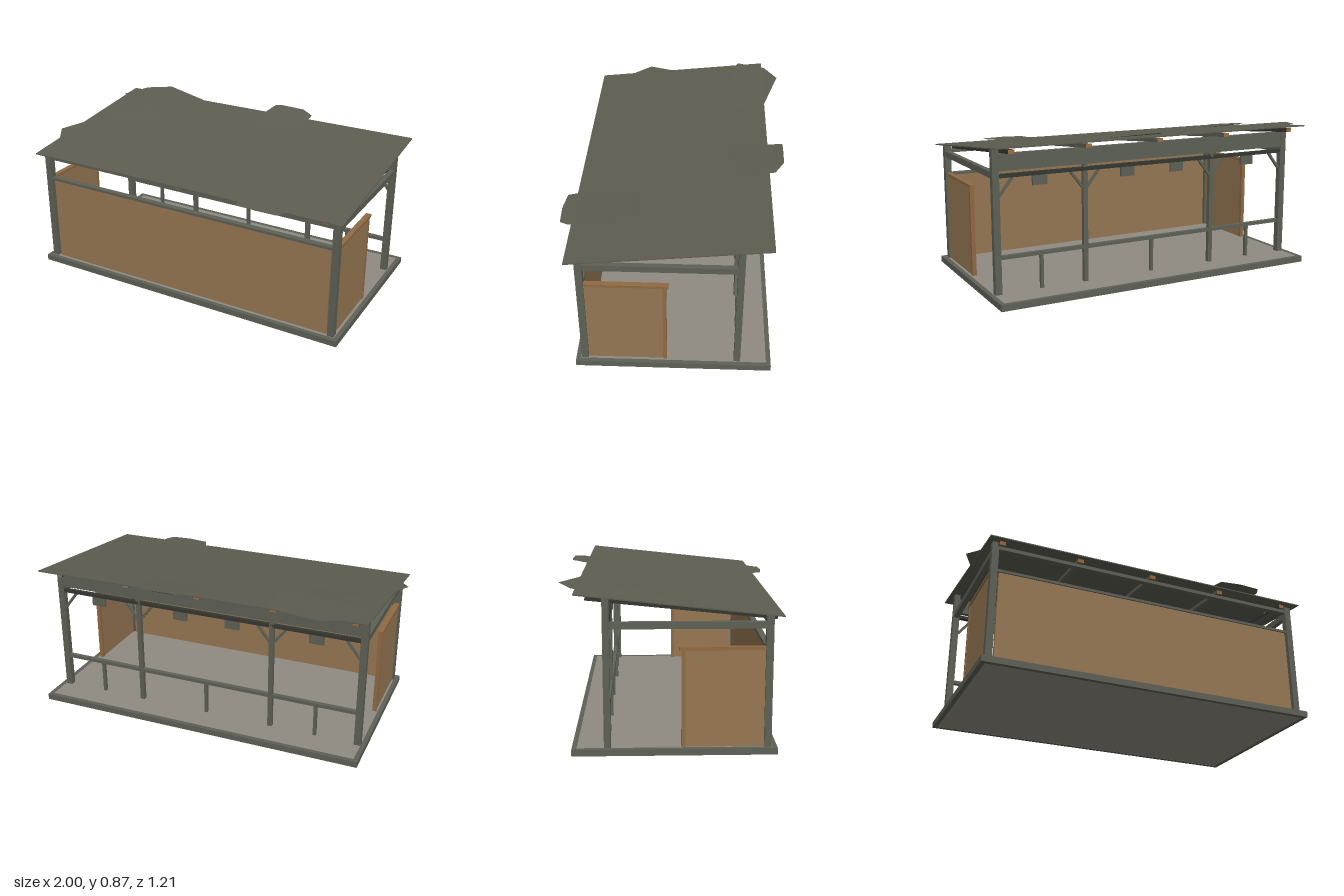
import * as THREE from 'three';

const paint = (name, color, side = THREE.FrontSide) => {
  const m = new THREE.MeshStandardMaterial({ color, side });
  m.name = name;
  return m;
};

export function createModel() {
  const frame = paint('greenGreyFrame', 0x5e6156);
  const dark = paint('darkTimber', 0x353731);
  const wood = paint('brownBoards', 0x967753);
  const trim = paint('brownTrim', 0x8f6b44);
  const floorGrey = paint('floorGrey', 0x8f8b82);
  const sheet = paint('roofSheet', 0x5d5d51, THREE.DoubleSide);
  const endGrain = paint('orangeEndGrain', 0x9c6a3a);

  const model = new THREE.Group();
  model.name = 'openShelter';

  // Box given by its lower and upper limits on each axis
  const box = (name, mat, x0, x1, y0, y1, z0, z1) => {
    const mesh = new THREE.Mesh(new THREE.BoxGeometry(x1 - x0, y1 - y0, z1 - z0), mat);
    mesh.position.set((x0 + x1) / 2, (y0 + y1) / 2, (z0 + z1) / 2);
    mesh.name = name;
    model.add(mesh);
  };
  // Straight bar between two points
  const bar = (name, mat, a, b, w, h) => {
    const from = new THREE.Vector3(...a), to = new THREE.Vector3(...b);
    const mesh = new THREE.Mesh(new THREE.BoxGeometry(w, h, from.distanceTo(to)), mat);
    mesh.position.copy(from).lerp(to, 0.5);
    mesh.lookAt(to);
    mesh.name = name;
    model.add(mesh);
  };
  const roofY = z => 0.722 + 0.1076 * (0.535 - z);

  // Base rim around the floor slab
  box('frontRim', frame, -0.945, 1, 0, 0.035, 0.49, 0.515);
  box('rearRim', frame, -0.945, 1, 0, 0.035, -0.54, -0.515);
  box('rightRim', frame, -0.945, -0.92, 0, 0.035, -0.515, 0.49);
  box('leftRim', frame, 0.975, 1, 0, 0.035, -0.515, 0.49);
  box('floor', floorGrey, -0.92, 0.975, 0.002, 0.034, -0.515, 0.49);

  // Corner posts, side ties and side walls
  for (const [side, x0, x1] of [['right', -0.92, -0.882], ['left', 0.933, 0.97]]) {
    const xm = (x0 + x1) / 2;
    box(side + 'FrontPost', frame, x0, x1, 0.034, 0.72, 0.447, 0.485);
    box(side + 'RearPost', frame, x0, x1, 0.034, 0.815, -0.375, -0.34);
    box(side + 'TieBeam', frame, x0 + 0.004, x1 - 0.004, 0.655, 0.69, -0.34, 0.447);
    box(side + 'SideWall', wood, xm - 0.008, xm + 0.008, 0.034, 0.545, 0.03, 0.447);
    box(side + 'WallStud', trim, xm - 0.012, xm + 0.012, 0.034, 0.545, 0.022, 0.042);
    box(side + 'WallCap', trim, xm - 0.015, xm + 0.015, 0.545, 0.561, 0.01, 0.447);
  }

  // Front wall, its cap rail and the header
  box('frontWall', wood, -0.871, 0.924, 0.034, 0.547, 0.452, 0.472);
  box('frontCapRail', frame, -0.882, 0.933, 0.545, 0.56, 0.447, 0.48);
  box('frontHeader', frame, -0.882, 0.933, 0.68, 0.7, 0.45, 0.482);

  // Rear header, tie and hand rail
  box('rearHeader', frame, -0.882, 0.933, 0.695, 0.786, -0.372, -0.345);
  box('rearTie', dark, -0.882, 0.933, 0.658, 0.678, -0.37, -0.347);
  box('rearRail', frame, -0.882, 0.933, 0.222, 0.242, -0.37, -0.345);
  for (const x of [-0.65, 0.018, 0.7])
    box('railPost', frame, x - 0.009, x + 0.009, 0.034, 0.225, -0.367, -0.348);
  for (const x of [-0.382, 0.438])
    box('middlePost', frame, x - 0.013, x + 0.013, 0.034, 0.7, -0.37, -0.345);

  // Slanted braces beside the rear posts
  for (const [x, dir] of [[-0.888, 1], [-0.382, -1], [-0.382, 1], [0.438, -1], [0.438, 1], [0.94, -1]])
    bar('brace', frame, [x, 0.55, -0.358], [x + dir * 0.09, 0.665, -0.358], 0.014, 0.014);

  // Hanging plates under the rear tie
  for (const x of [-0.638, -0.145, 0.174, 0.702])
    box('hangingPlate', frame, x - 0.042, x + 0.042, 0.604, 0.66, -0.366, -0.351);

  // Sloping rafters with bare end grain, dark on the two outer ones
  for (const x of [-0.87, -0.42, 0.023, 0.46, 0.895]) {
    const side = Math.abs(x) > 0.6 ? dark : frame;
    bar('rafter', [side, side, side, frame, endGrain, endGrain],
      [x, 0.707, 0.505], [x, 0.807, -0.46], 0.034, 0.021);
  }
  // Small wedge blocks under the roof edges
  for (const x of [-0.87, 0.895]) box('wedgeBlock', endGrain, x - 0.017, x + 0.017, 0.728, 0.738, 0.34, 0.36);

  // Roof sheet, tilted by a rule on its vertices
  const roofGeo = new THREE.BoxGeometry(1.945, 0.006, 1.05).translate(0.0275, 0, 0.01);
  const rp = roofGeo.attributes.position;
  for (let i = 0; i < rp.count; i++) rp.setY(i, rp.getY(i) + roofY(rp.getZ(i)));
  roofGeo.computeVertexNormals();
  const roof = new THREE.Mesh(roofGeo, sheet);
  roof.name = 'roof';
  model.add(roof);

  // Loose sheets on the roof: each outline point is x, z, lift above the roof
  const patch = (name, pts) => {
    const geo = new THREE.ShapeGeometry(new THREE.Shape(pts.map(p => new THREE.Vector2(p[0], -p[1]))));
    geo.rotateX(-Math.PI / 2);
    const pos = geo.attributes.position;
    for (let i = 0; i < pos.count; i++) {
      const x = pos.getX(i), z = pos.getZ(i);
      const p = pts.find(q => Math.hypot(q[0] - x, q[1] - z) < 1e-4);
      pos.setY(i, roofY(z) + p[2]);
    }
    geo.computeVertexNormals();
    const mesh = new THREE.Mesh(geo, sheet);
    mesh.name = name;
    model.add(mesh);
  };
  patch('rearCornerPatch', [[-0.93, -0.36, 0.025], [-0.855, -0.53, 0.015], [-0.71, -0.605, 0.014],
    [-0.41, -0.515, 0.005], [-0.33, -0.275, 0.009], [-0.43, -0.21, 0.02]]);
  patch('sidePatch', [[-1, 0.22, 0.014], [-0.945, 0.1, 0.01], [-0.65, -0.27, 0.03],
    [-0.45, -0.1, 0.014], [-0.63, 0.14, 0.014], [-0.79, 0.28, 0.014], [-0.89, 0.385, 0.012]]);
  patch('rearPatch', [[0.035, -0.3, 0.004], [0.065, -0.52, 0.016], [0.08, -0.595, 0.02],
    [0.12, -0.597, 0.025], [0.27, -0.595, 0.022], [0.35, -0.545, 0.016], [0.355, -0.33, 0.004]]);
  patch('frontPatch', [[0.41, 0.215, 0.009], [0.645, 0.185, 0.014], [0.69, 0.33, 0.013],
    [0.7, 0.42, 0.012], [0.695, 0.55, 0.012], [0.67, 0.595, 0.014], [0.55, 0.6, 0.016],
    [0.43, 0.585, 0.013], [0.41, 0.535, 0.006]]);

  return model;
}
